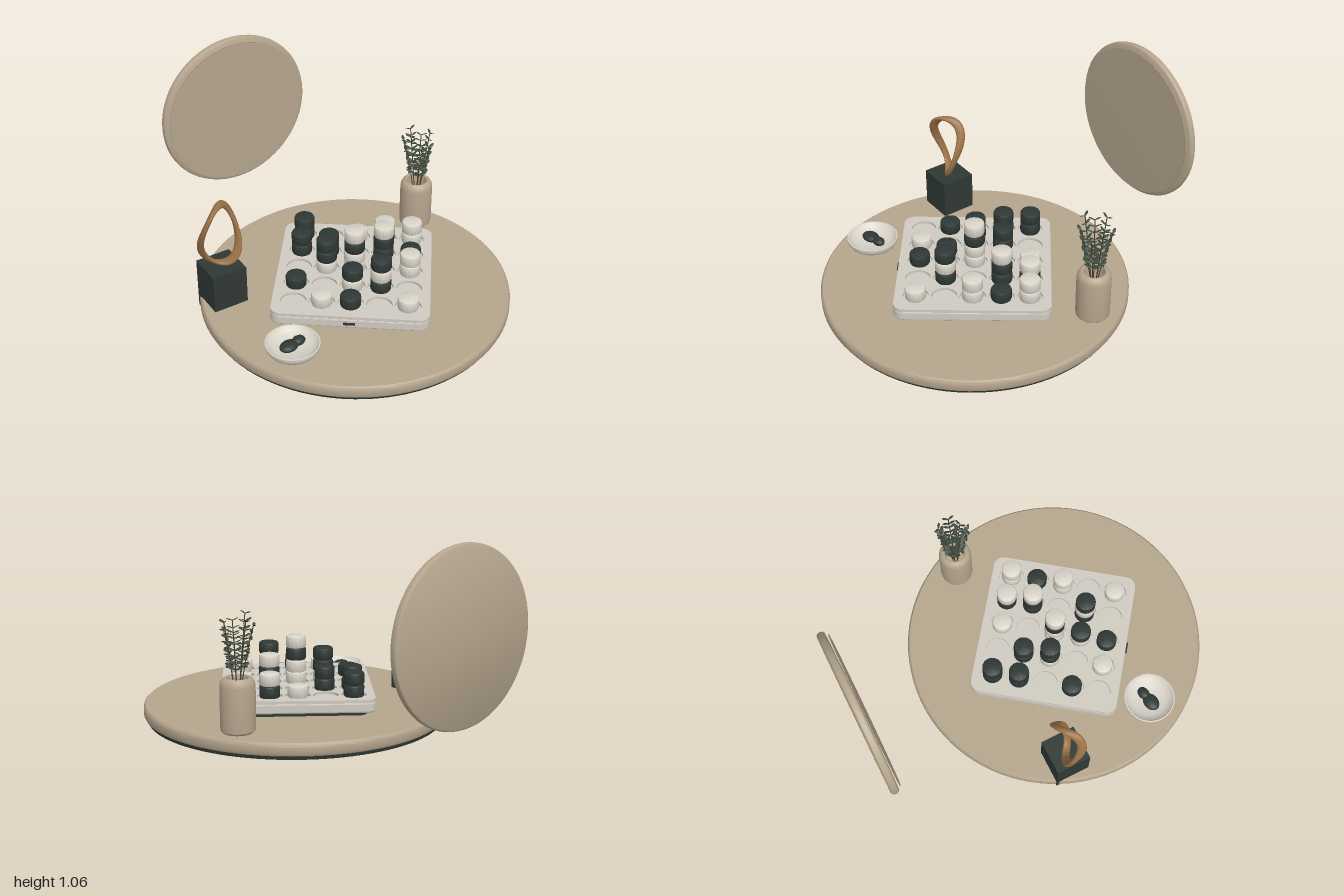
import * as THREE from 'three';
import { toCreasedNormals, mergeVertices } from 'three/addons/utils/BufferGeometryUtils.js';
import { ParametricGeometry } from 'three/addons/geometries/ParametricGeometry.js';

const mat = (name, color, side = THREE.FrontSide) => {
  const m = new THREE.MeshStandardMaterial({ color, side });
  m.name = name;
  return m;
};

export function createModel() {
  const tan = mat('tan', 0xb5a58d);
  const stone = mat('pale stone', 0xcfcbc1);
  const ivory = mat('ivory', 0xd9d4c9);
  const dark = mat('dark green', 0x2f3835);
  const wood = mat('wood', 0x9a7146, THREE.DoubleSide);
  const leafGreen = mat('leaf green', 0x3b493b, THREE.DoubleSide);
  const stemBrown = mat('stem brown', 0x4a4232);

  const root = new THREE.Group();
  root.name = 'tabletopSet';
  const add = (name, geo, material, x = 0, y = 0, z = 0, parent = root) => {
    const m = new THREE.Mesh(geo, material);
    m.name = name;
    m.position.set(x, y, z);
    parent.add(m);
    return m;
  };
  // Turned part from [radius, height] pairs, bottom to top
  const turned = (pts, seg = 64) => toCreasedNormals(
    new THREE.LatheGeometry(pts.map(([r, y]) => new THREE.Vector2(r, y)), seg), 0.6);

  // Round base
  add('baseUnderside', new THREE.CylinderGeometry(0.805, 0.8, 0.02, 96), dark, 0.15, 0.01, 0.17);
  add('baseDisc', turned([[0, 0.018], [0.805, 0.018], [0.815, 0.024], [0.82, 0.035], [0.82, 0.07],
    [0.817, 0.08], [0.808, 0.088], [0, 0.088]], 96), tan, 0.15, 0, 0.17);

  // Game board: solid tray plus a top plate with 25 round recesses
  const squircle = (size, r) => {
    const h = size / 2, s = new THREE.Shape();
    s.moveTo(-h + r, -h);
    s.absarc(h - r, -h + r, r, -Math.PI / 2, 0);
    s.absarc(h - r, h - r, r, 0, Math.PI / 2);
    s.absarc(-h + r, h - r, r, Math.PI / 2, Math.PI);
    s.absarc(-h + r, -h + r, r, Math.PI, Math.PI * 1.5);
    return s;
  };
  const slab = (shape, depth, bevel = 0) => new THREE.ExtrudeGeometry(shape, {
    depth, bevelEnabled: bevel > 0, bevelSize: bevel, bevelThickness: bevel, bevelSegments: 3, curveSegments: 24,
  }).rotateX(-Math.PI / 2);
  const board = new THREE.Group();
  board.name = 'board';
  board.position.set(0.147, 0, 0.17);
  root.add(board);
  add('boardFoot', slab(squircle(0.72, 0.05), 0.03), dark, 0, 0.087, 0, board);
  add('boardTray', slab(squircle(0.79, 0.05), 0.036, 0.01), stone, 0, 0.122, 0, board);
  const PITCH = 0.146;
  const topShape = squircle(0.805, 0.055);
  for (let i = -2; i <= 2; i++) for (let j = -2; j <= 2; j++) {
    const hole = new THREE.Path();
    hole.absarc(i * PITCH, j * PITCH, 0.067, 0, Math.PI * 2, true);
    topShape.holes.push(hole);
  }
  add('boardTop', slab(topShape, 0.018), stone, 0, 0.164, 0, board);
  add('boardLatch', new THREE.BoxGeometry(0.06, 0.01, 0.009), dark, 0, 0.142, 0.409, board);

  // Stacks of playing pieces, each string listed bottom to top
  const stacks = [
    ['DD', '', 'W', 'DW', 'WW'],
    ['DD', 'DD', '', 'DDW', 'D'],
    ['', 'WDD', 'WWDW', '', 'WW'],
    ['D', '', 'WD', 'DWD', ''],
    ['', 'W', 'D', '', 'W'],
  ];
  const H = 0.066;
  const pieceGeo = turned([[0, 0], [0.046, 0], [0.051, 0.003], [0.054, 0.01], [0.054, H - 0.011],
    [0.051, H - 0.004], [0.045, H - 0.001], [0, H - 0.001]], 32);
  stacks.forEach((row, j) => row.forEach((stack, i) => [...stack].forEach((c, k) =>
    add('piece', pieceGeo, c === 'D' ? dark : ivory, (i - 2) * PITCH, 0.174 + k * H, (j - 2) * PITCH, board))));

  // Shallow dish with two pebbles
  add('dish', turned([[0, 0.094], [0.1, 0.094], [0.125, 0.108], [0.137, 0.13], [0.138, 0.146], [0.132, 0.147],
    [0.118, 0.127], [0.09, 0.113], [0, 0.108]], 48), ivory, -0.118, 0, 0.745);
  for (const [x, z, a, b] of [[-0.135, 0.757, 0.052, 0.04], [-0.093, 0.71, 0.038, 0.03]]) {
    const p = add('pebble', new THREE.SphereGeometry(1, 24, 16), dark, x, 0.13, z);
    p.scale.set(a, 0.022, b);
    p.rotation.y = 0.85;
  }

  // Plinth, sunk through the base edge
  const plinth = add('plinth', new THREE.BoxGeometry(0.19, 0.285, 0.19), dark, -0.528, 0.1575, 0.343);
  plinth.rotation.y = 0.645;

  // Twisted wooden loop on the plinth
  const loop = (u, v, out) => {
    const t = u * Math.PI * 2 - Math.PI / 2, s = v * Math.PI * 2;
    const turn = 0.5 * Math.sin(2 * t);
    const a = 0.013 * Math.cos(s), b = 0.025 * Math.sin(s);
    const radial = a * Math.cos(turn) - b * Math.sin(turn);
    const across = a * Math.sin(turn) + b * Math.cos(turn);
    out.set((0.102 + radial) * Math.cos(t), (0.172 + radial) * Math.sin(t), -0.036 * Math.sin(2 * t) + across);
  };
  const ring = add('loopSculpture', new ParametricGeometry(loop, 96, 16), wood, -0.53, 0.484, 0.345);
  ring.rotation.y = 0.645;

  // Standing round mirror, with a thin pane just in front of its frame
  const mirror = new THREE.Group();
  mirror.name = 'mirror';
  mirror.position.set(-0.606, 0.615, -0.72);
  mirror.rotation.y = 0.645;
  root.add(mirror);
  const frame = turned([[0, -0.022], [0.436, -0.022], [0.446, -0.016], [0.45, -0.006], [0.45, 0.006],
    [0.446, 0.016], [0.436, 0.022], [0, 0.022]], 96).rotateX(Math.PI / 2);
  add('mirrorFrame', frame, tan, 0, 0, 0, mirror);
  let pane = new THREE.CylinderGeometry(0.422, 0.422, 0.005, 96).rotateX(Math.PI / 2);
  pane.deleteAttribute('normal');
  pane.deleteAttribute('uv');
  pane = mergeVertices(pane);
  pane.computeVertexNormals();
  add('mirrorPane', pane, tan, 0, 0, 0.036, mirror);

  // Vase
  const VX = 0.453, VZ = -0.443;
  add('vase', turned([[0, 0.09], [0.078, 0.09], [0.087, 0.1], [0.089, 0.12], [0.089, 0.325], [0.086, 0.345],
    [0.078, 0.36], [0.064, 0.369], [0.056, 0.366], [0.054, 0.35], [0.054, 0.25], [0, 0.25]], 48), tan, VX, 0, VZ);

  // Leafy sprigs leaning out of the vase
  const leafGeo = new THREE.SphereGeometry(1, 8, 6).scale(0.023, 0.003, 0.0105).translate(0.023, 0, 0);
  const sprigs = new THREE.Group();
  sprigs.name = 'sprigs';
  sprigs.position.set(VX, 0, VZ);
  root.add(sprigs);
  const COUNT = 7;
  for (let i = 0; i < COUNT; i++) {
    const ang = (i / COUNT) * Math.PI * 2 + 0.4;
    const reach = 0.07 + 0.012 * (i % 2), top = 0.6 + 0.08 * ((i * 3) % COUNT) / (COUNT - 1);
    const at = (r, y) => new THREE.Vector3(Math.cos(ang) * r, y, Math.sin(ang) * r);
    const path = new THREE.QuadraticBezierCurve3(at(0.012, 0.26), at(0.035, 0.45), at(reach, top));
    add('stem', new THREE.TubeGeometry(path, 12, 0.0028, 5), stemBrown, 0, 0, 0, sprigs);
    for (let k = 0; k < 7; k++) {
      const p = path.getPoint(0.42 + k * 0.095);
      for (const side of [-1, 1]) {
        const leaf = add('leaf', leafGeo, leafGreen, p.x, p.y, p.z, sprigs);
        leaf.rotation.order = 'YZX';
        leaf.rotation.set(0.3 * side, -ang + side * (1.35 + 0.25 * (k % 2)), 0.35);
        leaf.scale.setScalar(1 - k * 0.04);
      }
    }
  }
  return root;
}
